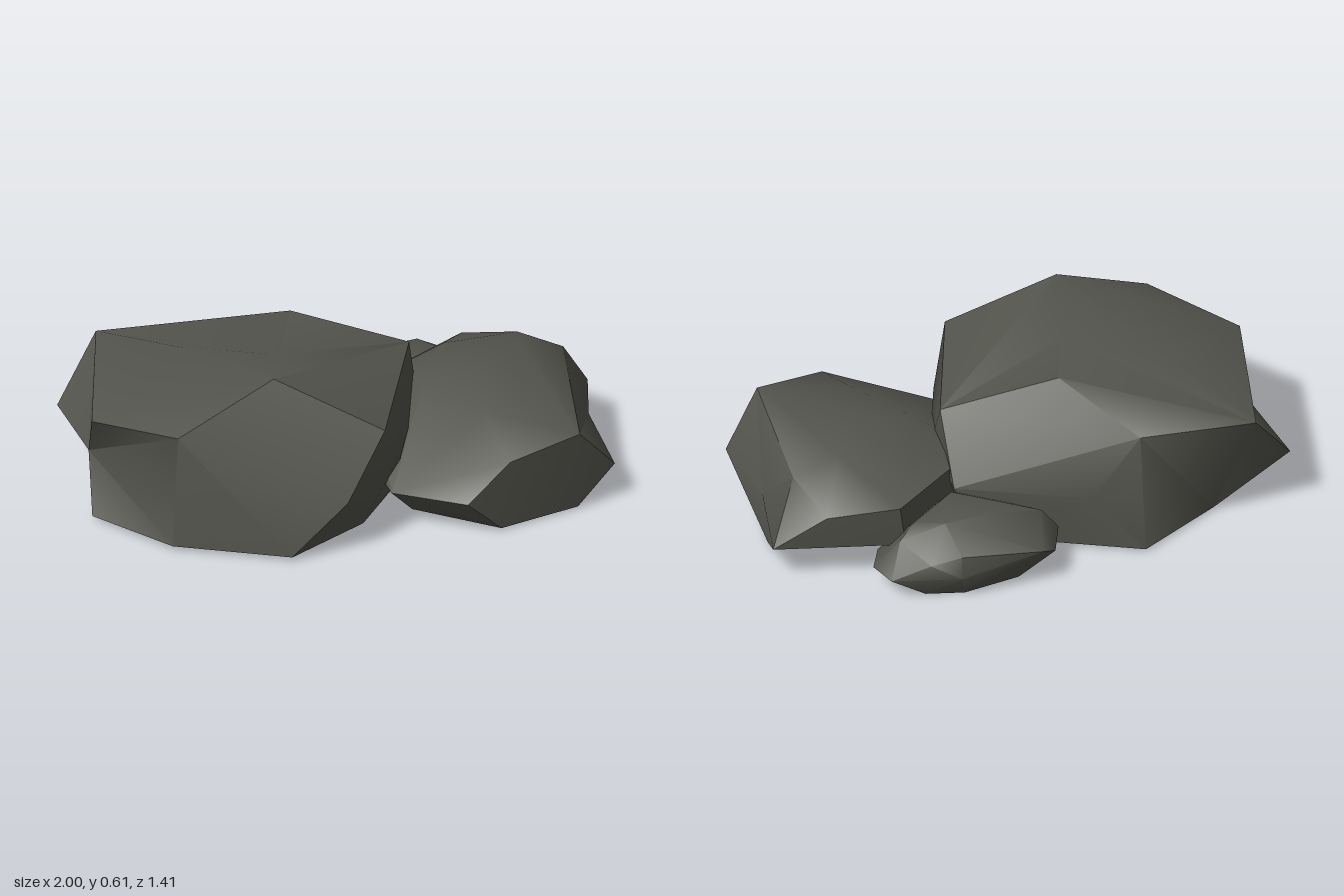
import * as THREE from 'three';
import { ConvexGeometry } from 'three/addons/geometries/ConvexGeometry.js';
import { toCreasedNormals } from 'three/addons/utils/BufferGeometryUtils.js';

const stone = new THREE.MeshStandardMaterial({ color: 0x53544c });
stone.name = 'dark stone';

// Boulder from corner points [x, y, z, dent]. A dent above 1 wraps the hull
// around an outward-pushed corner, which is then pulled back in.
function boulder(name, corners) {
  const real = corners.map(([x, y, z]) => new THREE.Vector3(x, y, z));
  const centre = real.reduce((sum, p) => sum.add(p), new THREE.Vector3()).divideScalar(real.length);
  const hull = real.map((p, i) => p.clone().sub(centre).multiplyScalar(corners[i][3] ?? 1).add(centre));
  const geometry = new ConvexGeometry(hull);
  const pos = geometry.attributes.position;
  const v = new THREE.Vector3();
  for (let i = 0; i < pos.count; i++) {
    v.fromBufferAttribute(pos, i);
    const k = hull.findIndex((p) => p.distanceTo(v) < 1e-4);
    if (k >= 0) pos.setXYZ(i, ...real[k].toArray());
  }
  const mesh = new THREE.Mesh(toCreasedNormals(geometry, 0.72), stone);
  mesh.name = name;
  return mesh;
}

export function createModel() {
  const group = new THREE.Group();
  group.name = 'rockCluster';

  group.add(boulder('largeRock', [
    // crown
    [-0.17, 0.61, 0.49], [-0.18, 0.57, -0.13], [-0.19, 0.545, 0.17, 1.25], [-0.55, 0.52, 0.1],
    // shoulder
    [-0.88, 0.42, -0.19], [-0.82, 0.4, 0.48], [-0.49, 0.45, 0.68], [0.225, 0.42, 0.475],
    [0.24, 0.455, -0.16], [-0.47, 0.42, -0.29, 1.25],
    // waist
    [-1, 0.2, -0.03, 1.05], [-0.85, 0.2, 0.31, 1.45], [0.11, 0.2, 0.625], [0.265, 0.25, 0.3],
    [0.275, 0.27, -0.1], [0.19, 0.25, -0.36], [-0.3, 0.216, -0.37, 1.15],
    // foot
    [-0.82, 0.015, 0.46], [-0.51, 0.015, 0.665], [-0.08, 0.015, 0.705], [0.14, 0.015, 0.41],
    [0.22, 0.015, 0.1], [0.12, 0.015, -0.3], [-0.49, 0.01, -0.38, 1.05], [-0.73, 0.01, -0.1, 1.45],
  ]));

  group.add(boulder('mediumRock', [
    // crown
    [0.6, 0.405, -0.38], [0.5, 0.395, -0.1], [0.31, 0.37, -0.1], [0.55, 0.35, 0.15], [0.34, 0.36, -0.35],
    // shoulder
    [0.66, 0.27, 0.38], [0.89, 0.31, 0.21], [0.76, 0.335, -0.42], [0.64, 0.26, -0.575], [0.38, 0.295, -0.565],
    [0.1, 0.3, -0.15],
    // waist
    [0.24, 0.135, 0.4], [0.52, 0.135, 0.465], [1, 0.135, 0.08], [0.87, 0.16, -0.25, 1.3], [0.83, 0.13, -0.575],
    [0.36, 0.13, -0.54], [0.08, 0.12, 0],
    // foot
    [0.3, 0.015, 0.28], [0.63, 0.008, 0.38], [0.88, 0.008, 0.18], [0.85, 0.012, -0.34],
    [0.4, 0.008, -0.35], [0.12, 0.01, -0.15],
  ]));

  group.add(boulder('smallRock', [
    // crown
    [0.22, 0.25, -0.59], [0.05, 0.24, -0.5], [0.2, 0.25, -0.38], [0.33, 0.23, -0.55], [-0.12, 0.2, -0.42],
    // shoulder
    [-0.13, 0.14, -0.6], [0.16, 0.17, -0.69], [0.27, 0.14, -0.7], [0.38, 0.19, -0.61],
    // waist
    [0.41, 0.08, -0.705], [0.475, 0.08, -0.61], [-0.17, 0.1, -0.53], [-0.18, 0.1, -0.37],
    [0.16, 0.09, -0.705], [0.46, 0.06, -0.46], [0.1, 0.15, -0.25],
    // foot
    [-0.13, 0.008, -0.42], [-0.04, 0.003, -0.55], [0.15, 0, -0.65], [0.29, 0, -0.66],
    [0.42, 0.01, -0.45], [0.3, 0, -0.25], [-0.1, 0, -0.3],
  ]));

  return group;
}
